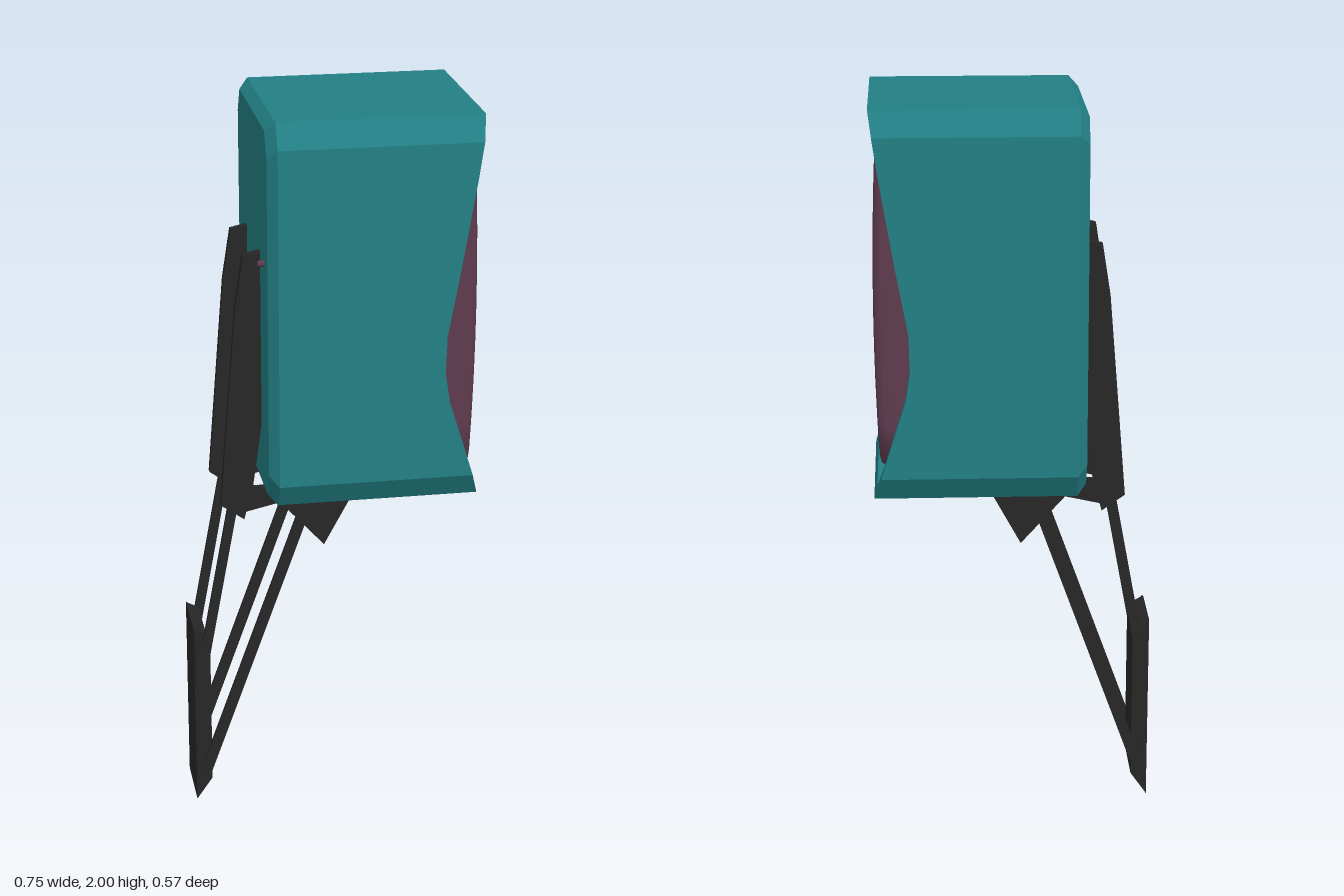
import * as THREE from 'three';

const mat = (color, flatShading = true) =>
  new THREE.MeshStandardMaterial({ color, flatShading, side: THREE.DoubleSide });
const TEAL = mat(0x228085), PURPLE = mat(0x5f3b4e, false), GLASS = mat(0x69b9b6, false), BLACK = mat(0x272727);
const CY = 1.48; // height of the cabinet centre

// Skin a list of equal-length rings; optional caps at both ends
function loft(rings, caps = true, smooth = false) {
  const n = rings[0].length, pos = rings.flat(2), idx = [];
  for (let r = 0; r < rings.length - 1; r++)
    for (let i = 0; i < n; i++) {
      const j = (i + 1) % n, a = r * n, b = a + n;
      idx.push(a + i, a + j, b + j, a + i, b + j, b + i);
    }
  if (caps) {
    const e = (rings.length - 1) * n;
    for (let i = 1; i < n - 1; i++) idx.push(0, i + 1, i, e, e + i, e + i + 1);
  }
  let g = new THREE.BufferGeometry();
  g.setAttribute('position', new THREE.Float32BufferAttribute(pos, 3));
  g.setIndex(idx);
  if (!smooth) g = g.toNonIndexed();
  g.computeVertexNormals();
  return g;
}

// Scooped front edge of the cabinet: x for a given height
const EDGE = [[2.0, 0.375], [1.84, 0.352], [1.6, 0.312], [1.42, 0.279], [1.32, 0.276], [1.24, 0.288], [1.1, 0.332], [0.96, 0.375]];
function edgeX(y) {
  for (let i = 0; i < EDGE.length - 1; i++) {
    const [y0, x0] = EDGE[i], [y1, x1] = EDGE[i + 1];
    if (y >= y1) return x0 + (x1 - x0) * (y0 - y) / (y0 - y1);
  }
  return 0.375;
}

// Chamfered rectangle with extra points down the sides to carry the scoop
function cabinetRing(inset, xOf) {
  const h = 0.52 - inset, w = 0.283 - inset, cz = 0.037, cy = 0.065;
  const side = [CY + h - cy, ...EDGE.slice(1, -1).map(e => e[0]), CY - h + cy];
  const pts = [[CY + h, cz - w], [CY + h, w - cz], ...side.map(y => [y, w]),
    [CY - h, w - cz], [CY - h, cz - w], ...side.slice().reverse().map(y => [y, -w])];
  return pts.map(([y, z]) => [xOf(y), y, z]);
}

// Rectangle with subdivided, slightly bowed sides, on a bulging surface
function screenRing(h, w, x, bulge, bow = 0) {
  const out = [], N = 8;
  const corners = [[1, -1], [1, 1], [-1, 1], [-1, -1]];
  corners.forEach(([y0, z0], c) => {
    const [y1, z1] = corners[(c + 1) % 4];
    for (let i = 0; i < N; i++) {
      const t = i / N, y = y0 + (y1 - y0) * t, z = z0 + (z1 - z0) * t;
      const k = 1 + bow * (4 * t * (1 - t));
      const py = y * h * (y0 === y1 ? k : 1), pz = z * w * (z0 === z1 ? k : 1);
      const b = (1 - (py / 0.45) ** 2) * (1 - 0.5 * (pz / 0.24) ** 2);
      out.push([x + bulge * b, CY + py, pz]);
    }
  });
  return out;
}

export function createModel() {
  const model = new THREE.Group();
  const add = (name, geo, material, parent = model) => {
    const m = new THREE.Mesh(geo, material);
    m.name = name;
    parent.add(m);
    return m;
  };

  // Cabinet: bevelled back, scooped sides, front rim and recess
  add('cabinet', loft([
    cabinetRing(0.025, () => -0.19),
    cabinetRing(0, () => -0.165),
    cabinetRing(0, edgeX),
    cabinetRing(0.028, edgeX),
    cabinetRing(0.036, () => 0.18),
  ]), TEAL);

  // Padded bezel around the screen
  add('bezel', loft([
    screenRing(0.432, 0.234, 0.19, 0),
    screenRing(0.432, 0.234, 0.335, 0.022),
    screenRing(0.425, 0.228, 0.352, 0.022),
    screenRing(0.405, 0.216, 0.357, 0.021),
    screenRing(0.37, 0.2, 0.35, 0.021, 0.01),
    screenRing(0.34, 0.184, 0.325, 0.02, 0.03),
  ], false, true), PURPLE);

  // Curved glass
  add('screen', loft([1, 0.75, 0.5, 0.25, 0.001].map(s =>
    screenRing(0.342 * s, 0.186 * s, 0.328, 0.022, 0.03)), false, true), GLASS);

  // Small lamp on the back
  const lamp = add('backLamp', new THREE.CylinderGeometry(0.008, 0.01, 0.02, 8), PURPLE);
  lamp.rotation.z = Math.PI / 2;
  lamp.position.set(-0.198, 1.62, 0.204);

  const bracket = new THREE.Group();
  bracket.name = 'wallBracket';
  model.add(bracket);

  const plate = (name, pts, z, depth) => {
    const g = new THREE.ExtrudeGeometry(new THREE.Shape(pts.map(p => new THREE.Vector2(...p))),
      { depth, bevelEnabled: false });
    g.translate(0, 0, z - depth / 2);
    return add(name, g, BLACK, bracket);
  };
  const rod = (name, [x0, y0], [x1, y1], z, width, depth) => {
    const m = add(name, new THREE.BoxGeometry(width, Math.hypot(x1 - x0, y1 - y0), depth), BLACK, bracket);
    m.position.set((x0 + x1) / 2, (y0 + y1) / 2, z);
    m.rotation.z = Math.atan2(x0 - x1, y1 - y0);
  };

  for (const s of [-1, 1]) {
    // Tapered upright bolted to the cabinet back
    plate('upright', [[-0.235, 1.62], [-0.19, 1.63], [-0.187, 1.17], [-0.215, 0.97],
      [-0.24, 0.875], [-0.303, 0.92], [-0.257, 1.48]], s * 0.12, 0.021);
    // Strap joining the upright and the saddle
    plate('strap', [[-0.225, 0.965], [-0.08, 0.965], [-0.1, 0.925], [-0.235, 0.895]], s * 0.118, 0.016);
    // Two rods down to the wall plate
    rod('upperRod', [-0.265, 0.92], [-0.358, 0.42], s * 0.101, 0.026, 0.013);
    rod('diagonalRod', [-0.07, 0.88], [-0.362, 0.07], s * 0.1, 0.03, 0.011);
    // Thin ear on each side of the wall plate
    plate('plateEar', [[-0.378, 0.53], [-0.338, 0.46], [-0.345, 0.38], [-0.378, 0.36]], s * 0.1, 0.012);
    plate('plateEar', [[-0.378, 0.2], [-0.345, 0.13], [-0.345, 0.07], [-0.378, 0.04]], s * 0.098, 0.008);
  }

  // Saddle under the cabinet: triangular, hollowed toward the middle
  const saddle = [];
  for (let i = 0; i <= 10; i++) {
    const t = i / 5 - 1, c = 1 - t * t;
    const w = 0.125 * t;
    saddle.push([
      [0.08 - 0.04 * c, 0.965 - 0.025 * c, w],
      [-0.14 + 0.09 * c, 0.962 - 0.025 * c, w],
      [-0.14 + 0.08 * c, 0.915, w],
      [-0.02 - 0.02 * c, 0.782 + 0.012 * c, w],
    ]);
  }
  add('saddle', loft(saddle), BLACK, bracket);

  // Wall plate with slanted ends
  plate('wallPlate', [[-0.38, 0.535], [-0.38, 0], [-0.335, 0.065], [-0.335, 0.475], [-0.345, 0.515]], 0, 0.182);

  return model;
}
